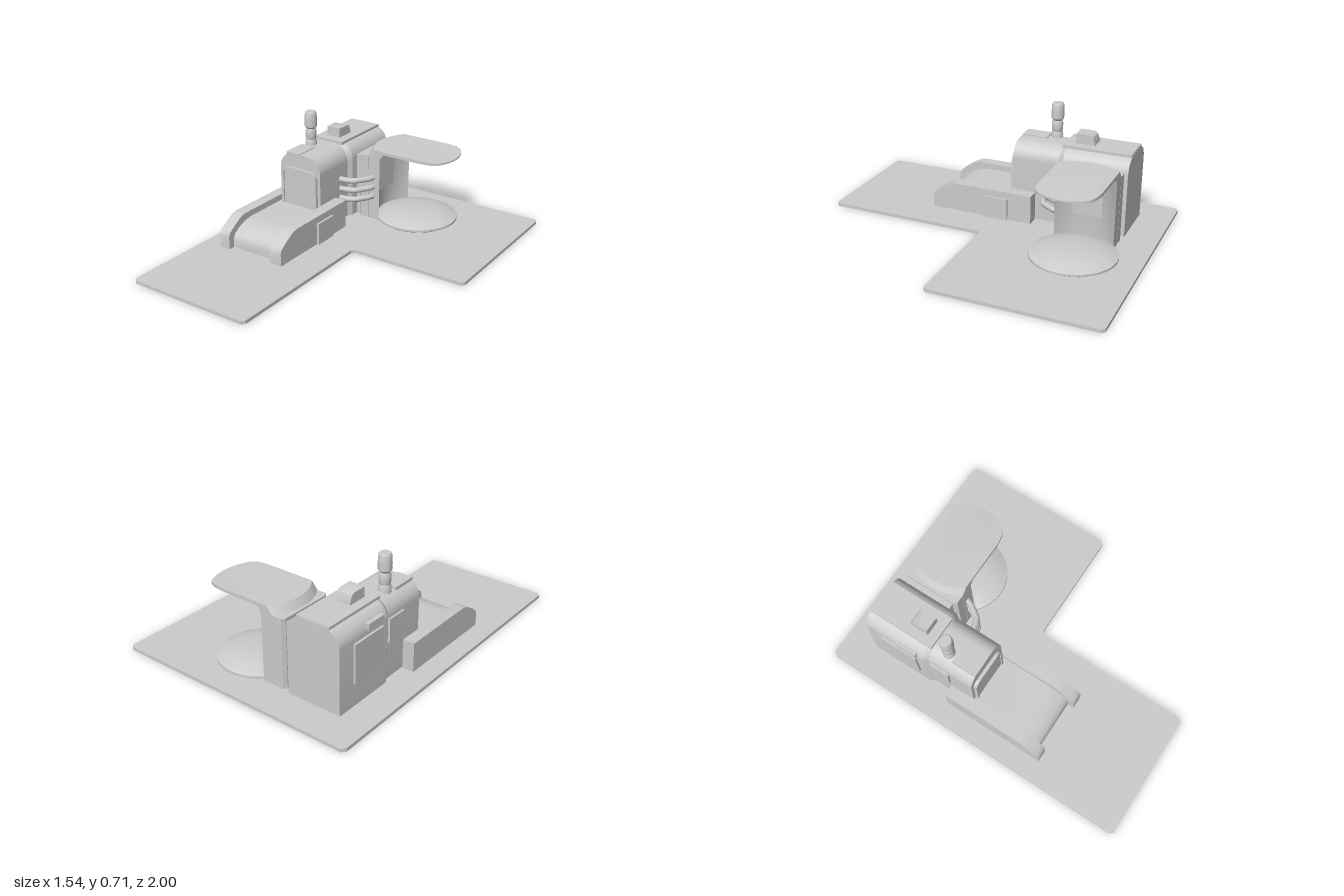
import * as THREE from 'three';
import { toCreasedNormals } from 'three/addons/utils/BufferGeometryUtils.js';

const grey = new THREE.MeshStandardMaterial({ color: 0xcccccc });
const BODY_X = -0.417;

const polygon = (pts) => new THREE.Shape(pts.map(([x, y]) => new THREE.Vector2(x, y)));

function extrude(shape, depth, steps = 1) {
  return new THREE.ExtrudeGeometry(shape, { depth, steps, bevelEnabled: false, curveSegments: 8 });
}

// profile given as [z, y], extruded between two x positions
function extrudeX(pts, x0, x1) {
  return extrude(polygon(pts), x1 - x0).rotateY(-Math.PI / 2).translate(x1, 0, 0);
}

// outline given as [x, z], extruded between two heights
function extrudeY(pts, y0, y1) {
  return extrude(polygon(pts.map(([x, z]) => [x, -z])), y1 - y0).rotateX(-Math.PI / 2).translate(0, y0, 0);
}

// upright outline with rounded upper corners
function archShape(half, y0, y1, r) {
  const s = new THREE.Shape();
  s.moveTo(-half, y0);
  s.lineTo(half, y0);
  s.lineTo(half, y1 - r);
  s.absarc(half - r, y1 - r, r, 0, Math.PI / 2);
  s.absarc(-half + r, y1 - r, r, Math.PI / 2, Math.PI);
  s.closePath();
  return s;
}

function moveVertices(geo, rule) {
  const p = geo.attributes.position;
  const v = new THREE.Vector3();
  for (let i = 0; i < p.count; i++) {
    rule(v.fromBufferAttribute(p, i));
    p.setXYZ(i, v.x, v.y, v.z);
  }
  return geo;
}

export function createModel() {
  const model = new THREE.Group();
  const add = (name, geo, crease = 0.55) => {
    const mesh = new THREE.Mesh(toCreasedNormals(geo, crease), grey);
    mesh.name = name;
    model.add(mesh);
    return mesh;
  };
  const box = (name, x0, x1, y0, y1, z0, z1) =>
    add(name, new THREE.BoxGeometry(x1 - x0, y1 - y0, z1 - z0)
      .translate((x0 + x1) / 2, (y0 + y1) / 2, (z0 + z1) / 2));

  // L-shaped floor with clipped corners
  const c = 0.02;
  add('floorPlate', extrudeY([
    [-0.77 + c, -1], [0.77 - c, -1], [0.77, -1 + c], [0.77, -c], [0.77 - c, 0], [0.03 + c, 0],
    [0.03, c], [0.03, 1 - c], [0.03 - c, 1], [-0.77 + c, 1], [-0.77, 1 - c], [-0.77, -1 + c],
  ], 0, 0.02));

  // machine housing: wide rear, tapered collar, narrower front
  const arch = (half, y1, r, z0, z1) =>
    extrude(archShape(half, 0.02, y1, r), z1 - z0).translate(BODY_X, 0, z0);
  add('rearHousing', arch(0.17, 0.5, 0.1, -0.8, -0.405));
  add('housingCollar', moveVertices(arch(0.17, 0.5, 0.1, -0.405, -0.375), (v) => {
    if (v.z > -0.39) {
      v.x = BODY_X + (v.x - BODY_X) * 0.15 / 0.17;
      v.y = 0.02 + (v.y - 0.02) * 0.47 / 0.48;
    }
  }));
  add('frontHousing', arch(0.15, 0.493, 0.1, -0.38, -0.085));
  box('roofPlate', -0.52, -0.31, 0.49, 0.51, -0.798, -0.38);
  box('frontRoofPlate', -0.52, -0.42, 0.48, 0.498, -0.24, -0.083);

  // arched front hatch with raised rim
  const rim = archShape(0.13, 0.1, 0.405, 0.045);
  rim.holes.push(archShape(0.115, 0.11, 0.39, 0.035));
  add('hatchRim', extrude(rim, 0.025).translate(BODY_X, 0, -0.09));
  add('hatchPanel', extrude(archShape(0.116, 0.1, 0.391, 0.036), 0.018).translate(BODY_X, 0, -0.09));

  // roof button with a sloped rear
  add('roofButton', extrudeX([
    [-0.44, 0.5], [-0.44, 0.57], [-0.525, 0.57], [-0.545, 0.56], [-0.56, 0.52], [-0.56, 0.5],
  ], -0.465, -0.37));

  // side hatches and grip
  box('sideHatch', -0.6, -0.58, 0.16, 0.39, -0.69, -0.45);
  box('sideGrip', -0.597, -0.57, 0.42, 0.455, -0.575, -0.445);
  box('smallSideHatch', -0.58, -0.56, 0.24, 0.385, -0.37, -0.24);

  // lever
  add('lever', new THREE.LatheGeometry([
    [0, 0.48], [0.036, 0.48], [0.036, 0.515], [0.03, 0.53], [0.034, 0.545], [0.034, 0.585], [0.028, 0.6],
    [0.038, 0.612], [0.039, 0.65], [0.036, 0.7], [0.031, 0.708], [0, 0.708],
  ].map(([x, y]) => new THREE.Vector2(x, y)), 20).translate(-0.48, 0, -0.285));

  // conveyor: two side rails and a belt with a rounded nose
  const railProfile = [
    [-0.235, 0.02], [0.415, 0.02], [0.415, 0.095], [0.405, 0.12], [0.37, 0.147],
    [0.32, 0.178], [0.29, 0.192], [0.26, 0.198], [-0.235, 0.198],
  ];
  [[-0.645, -0.573], [-0.26, -0.185]].forEach(([x0, x1], i) =>
    add(['rightRail', 'leftRail'][i], extrudeX(railProfile, x0, x1)));
  add('belt', extrudeX([
    [-0.2, 0.02], [0.375, 0.02], [0.375, 0.07], [0.365, 0.095], [0.34, 0.118],
    [0.3, 0.14], [0.25, 0.155], [0.2, 0.16], [-0.2, 0.16],
  ], -0.58, -0.255));
  box('railPanel', -0.19, -0.17, 0.02, 0.155, -0.085, 0.067);

  // link between housing and scanner
  box('innerLink', -0.26, -0.19, 0.02, 0.42, -0.765, -0.455);
  add('outerLink', extrudeY([
    [-0.215, -0.77], [-0.2, -0.79], [-0.145, -0.79], [-0.145, -0.43], [-0.2, -0.43], [-0.215, -0.45],
  ], 0.02, 0.44));

  // three bent hoses
  for (const y of [0.175, 0.237, 0.3]) {
    const path = new THREE.CatmullRomCurve3([
      [-0.29, -0.3], [-0.23, -0.302], [-0.18, -0.32], [-0.145, -0.365], [-0.118, -0.41], [-0.11, -0.45],
    ].map(([x, z]) => new THREE.Vector3(x, y, z)));
    add('hose', new THREE.TubeGeometry(path, 20, 0.018, 10), 1);
  }

  // scanner wall: a profile of [radius, height] bent around the turntable axis
  const CX = 0.11, CZ = -0.61, HALF = 0.18;
  const wall = extrude(polygon([
    [-0.31, 0.02], [-0.25, 0.02], [-0.25, 0.43], [-0.232, 0.466], [-0.2, 0.466],
    [-0.2, 0.485], [-0.28, 0.485], [-0.31, 0.44],
  ]), 2 * HALF, 14).translate(0, 0, -HALF);
  moveVertices(wall, (v) => { v.x = -Math.sqrt(v.x * v.x - v.z * v.z); });
  add('scannerWall', wall.translate(CX, 0, CZ));
  box('scannerScreen', -0.15, -0.122, 0.175, 0.42, -0.697, -0.517);

  // canopy with a rounded, drooping tip
  const tip = [];
  for (let i = 0; i <= 12; i++) {
    const a = (i / 6 - 1) * 0.62;
    tip.push([CX + 0.26 * Math.cos(a), CZ + 0.26 * Math.sin(a)]);
  }
  const canopy = extrudeY([
    [-0.06, CZ - HALF], [0.22, CZ - HALF], [0.283, CZ - 0.17], ...tip,
    [0.283, CZ + 0.17], [0.22, CZ + HALF], [-0.06, CZ + HALF], [-0.12, CZ + 0.09], [-0.12, CZ - 0.09],
  ], 0.466, 0.485);
  add('canopy', moveVertices(canopy, (v) => {
    if (v.y > 0.48) v.y -= Math.max(0, v.x - 0.28) * 0.12;
  }));

  // domed turntable
  add('turntable', new THREE.LatheGeometry([
    [0, 0.02], [0.235, 0.02], [0.255, 0.032], [0.255, 0.045], [0.245, 0.05],
    [0.18, 0.072], [0.13, 0.082], [0.07, 0.087], [0, 0.088],
  ].map(([x, y]) => new THREE.Vector2(x, y)), 40).translate(CX, 0, CZ), 0.35);

  return model;
}
